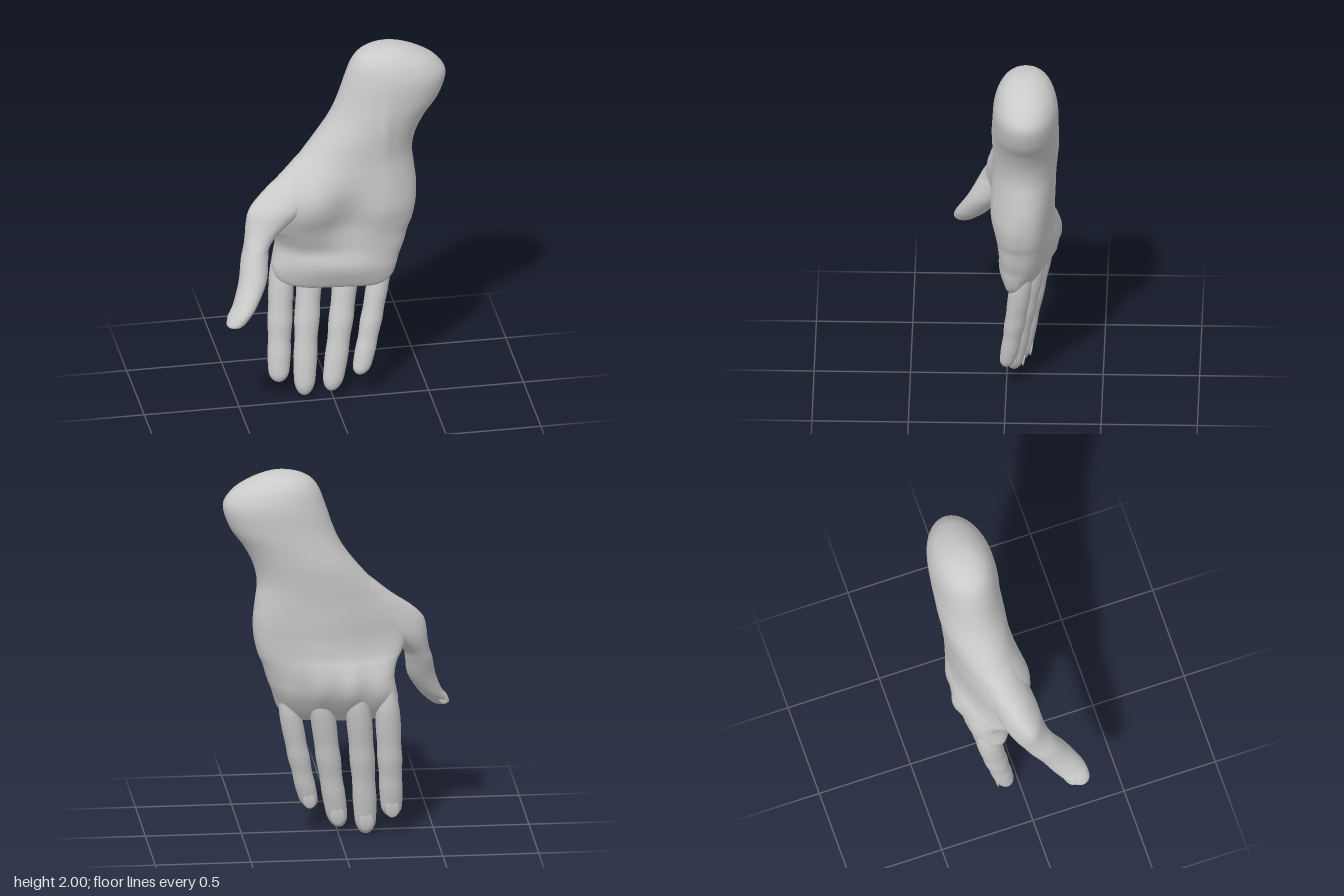
import * as THREE from 'three';

const skin = new THREE.MeshStandardMaterial({ color: 0xcacaca });
skin.name = 'plain grey';

// Smooth interpolation of a list of number rows
function sampleRows(rows, steps) {
  const out = [], last = rows.length - 1;
  for (let s = 0; s <= last * steps; s++) {
    const i = Math.min(Math.floor(s / steps), last - 1), t = s / steps - i;
    const p = [i - 1, i, i + 1, i + 2].map(k => rows[Math.max(0, Math.min(last, k))]);
    out.push(p[1].map((b, k) => {
      const a = p[0][k], c = p[2][k], d = p[3][k];
      return b + 0.5 * t * (c - a + t * (2 * a - 5 * b + 4 * c - d + t * (3 * (b - c) + d - a)));
    }));
  }
  return out;
}

// Closed loft from level rings, listed top to bottom; point(row, angle) gives [x, y, z]
function loft(name, rows, sides, steps, point) {
  const pos = [], index = [];
  const rings = sampleRows(rows, steps);
  rings.forEach((row, i) => {
    for (let j = 0; j < sides; j++) {
      pos.push(...point(row, j / sides * Math.PI * 2));
      if (i === rings.length - 1) continue;
      const a = i * sides + j, b = i * sides + (j + 1) % sides;
      index.push(a, b, a + sides, b, b + sides, a + sides);
    }
  });
  const g = new THREE.BufferGeometry();
  g.setAttribute('position', new THREE.Float32BufferAttribute(pos, 3));
  g.setIndex(index);
  g.computeVertexNormals();
  const mesh = new THREE.Mesh(g, skin);
  mesh.name = name;
  return mesh;
}

// All rows: y, left x, right x, centre z at each edge, half depth at each edge
// u and v are the unit outline of the ring
const ringPoint = ([y, xl, xr, zl, zr, hl, hr], u, v) => {
  const t = (u + 1) / 2;
  return [xl + (xr - xl) * t, y, zl + (zr - zl) * t + (hl + (hr - hl) * t) * v];
};
const ovalPoint = (row, a) => ringPoint(row, Math.cos(a), Math.sin(a));

const palmRows = [
  [2.0, 0.305, 0.305, -0.105, -0.105, 0, 0],
  [1.995, 0.25, 0.36, -0.105, -0.105, 0.045, 0.045],
  [1.98, 0.19, 0.415, -0.105, -0.105, 0.085, 0.08],
  [1.95, 0.14, 0.485, -0.105, -0.105, 0.122, 0.115],
  [1.9, 0.105, 0.56, -0.105, -0.105, 0.152, 0.145],
  [1.82, 0.075, 0.607, -0.105, -0.105, 0.17, 0.165],
  [1.7, 0.035, 0.57, -0.105, -0.105, 0.17, 0.17],
  [1.6, -0.01, 0.50, -0.105, -0.105, 0.17, 0.17],
  [1.5, -0.08, 0.45, -0.10, -0.105, 0.165, 0.172],
  [1.4, -0.165, 0.43, -0.085, -0.105, 0.145, 0.175],
  [1.3, -0.26, 0.44, -0.06, -0.105, 0.125, 0.178],
  [1.2, -0.34, 0.45, -0.045, -0.10, 0.11, 0.175],
  [1.1, -0.36, 0.445, -0.045, -0.09, 0.10, 0.165],
  [1.01, -0.335, 0.425, -0.07, -0.085, 0.10, 0.15],
  [0.95, -0.30, 0.40, -0.10, -0.08, 0.115, 0.14],
  [0.88, -0.285, 0.38, -0.13, -0.07, 0.12, 0.13],
  [0.8, -0.295, 0.355, -0.135, -0.065, 0.115, 0.115],
  [0.72, -0.305, 0.34, -0.125, -0.05, 0.095, 0.09],
  [0.66, -0.295, 0.32, -0.11, -0.04, 0.065, 0.06],
  [0.635, -0.26, 0.28, -0.10, -0.04, 0.04, 0.035],
  [0.625, -0.18, 0.22, -0.095, -0.045, 0, 0],
];

// Soft swellings and hollows: x, y, spread x, spread y, depth
const frontRelief = [
  [-0.15, 1.19, 0.17, 0.18, 0.055],  // thumb pad
  [0.28, 1.15, 0.12, 0.2, 0.025],    // heel pad
  [0.06, 1.05, 0.1, 0.14, -0.03],    // hollow
  [-0.12, 0.85, 0.16, 0.04, -0.008], // crease
  [0.05, 0.77, 0.28, 0.07, 0.018],   // pads below the fingers
  [0.27, 1.6, 0.03, 0.18, 0.008],    // wrist tendon
];
const backRelief = [
  [0.04, 1.02, 0.24, 0.32, 0.05],    // back of the hand
  [-0.22, 0.82, 0.05, 0.12, 0.012], [-0.05, 0.82, 0.05, 0.12, 0.025],
  [0.11, 0.82, 0.05, 0.12, 0.018], [0.26, 0.78, 0.05, 0.1, 0.012],
];
const relief = (list, x, y) => list.reduce((sum, [cx, cy, sx, sy, d]) =>
  sum + d * Math.exp(-(((x - cx) / sx) ** 2) - ((y - cy) / sy) ** 2), 0);

function palmPoint(row, a) {
  // Oval at the wrist, squarer toward the knuckles
  const power = 0.72 + 0.28 * THREE.MathUtils.smoothstep(row[0], 0.9, 1.4);
  const [u, s] = [Math.cos(a), Math.sin(a)].map(c => Math.sign(c) * Math.abs(c) ** power);
  const [x, y, z] = ringPoint(row, u, s);
  const bump = relief(s > 0 ? frontRelief : backRelief, x, y) * s;
  // The lower edge curves up toward both outer fingers
  const edge = Math.max(0, (x - 0.2) / 0.13) ** 2 + Math.max(0, (-0.1 - x) / 0.2) ** 2;
  return [x, y + 0.05 * edge * THREE.MathUtils.smoothstep(0.85 - y, 0, 0.2), z + bump];
}

// The thumb starts as a wide wedge inside the palm, which forms the web
const thumbRows = [
  [1.48, -0.06, -0.03, -0.08, -0.08, 0.01, 0.01],
  [1.4, -0.165, 0.0, -0.08, -0.08, 0.08, 0.10],
  [1.3, -0.28, 0.02, -0.05, -0.07, 0.09, 0.13],
  [1.22, -0.385, -0.02, -0.015, -0.06, 0.085, 0.14],
  [1.15, -0.45, -0.11, 0.01, -0.04, 0.085, 0.135],
  [1.08, -0.468, -0.21, 0.02, -0.02, 0.09, 0.115],
  [1.02, -0.475, -0.295, 0.035, 0.01, 0.09, 0.095],
  [0.96, -0.487, -0.35, 0.06, 0.05, 0.088, 0.085],
  [0.9, -0.505, -0.363, 0.083, 0.083, 0.085, 0.085],
  [0.8, -0.525, -0.38, 0.132, 0.132, 0.083, 0.083],
  [0.7, -0.562, -0.437, 0.185, 0.185, 0.082, 0.082],
  [0.65, -0.593, -0.477, 0.215, 0.215, 0.07, 0.07],
  [0.61, -0.608, -0.52, 0.237, 0.237, 0.047, 0.047],
  [0.592, -0.57, -0.57, 0.243, 0.243, 0, 0],
];

// Thin fingernail lying on the surface, with its facing direction and its long direction
function addNail(group, name, at, normal, along, width, length) {
  const nail = new THREE.Mesh(new THREE.SphereGeometry(1, 20, 12), skin);
  nail.name = name;
  nail.scale.set(width, length, 0.007);
  nail.position.set(...at);
  nail.up.set(...along);
  nail.lookAt(at[0] + normal[0], at[1] + normal[1], at[2] + normal[2]);
  group.add(nail);
}

// Finger thickness from knuckle to tip, with slight swelling at the joints
const fingerProfile = [[0, 0], [0.05, 0.6], [0.16, 1.0], [0.28, 1.08], [0.4, 1.03], [0.5, 1.07],
  [0.62, 0.97], [0.73, 1.0], [0.83, 0.95], [0.91, 0.87], [0.96, 0.65], [0.988, 0.36], [1, 0]];

const fingers = [
  ['indexFinger', [-0.235, 0.88, -0.18], [-0.262, 0.42, -0.122], [-0.277, 0.09, -0.07], 0.061],
  ['middleFinger', [-0.07, 0.91, -0.21], [-0.118, 0.42, -0.128], [-0.142, 0.0, -0.068], 0.062],
  ['ringFinger', [0.115, 0.89, -0.17], [0.055, 0.42, -0.09], [-0.006, 0.03, -0.035], 0.061],
  ['littleFinger', [0.285, 0.84, -0.095], [0.205, 0.42, -0.045], [0.138, 0.13, 0.0], 0.054],
];

export function createModel() {
  const hand = new THREE.Group();
  hand.name = 'hand';
  hand.add(loft('palmAndWrist', palmRows, 96, 6, palmPoint));
  hand.add(loft('thumb', thumbRows, 48, 6, ovalPoint));
  addNail(hand, 'thumbNail', [-0.568, 0.652, 0.176], [-0.65, 0.3, -0.65], [0.51, 0.74, -0.43], 0.034, 0.045);

  for (const [name, base, mid, tip, r] of fingers) {
    const curve = new THREE.QuadraticBezierCurve3(
      new THREE.Vector3(...base),
      new THREE.Vector3(...mid.map((m, k) => 2 * m - (base[k] + tip[k]) / 2)),
      new THREE.Vector3(...tip));
    const rows = fingerProfile.map(([t, f]) => {
      const p = curve.getPoint(t), depth = r * f * (1.05 - 0.2 * t);
      return [p.y, p.x - r * f, p.x + r * f, p.z, p.z, depth, depth];
    });
    hand.add(loft(name, rows, 32, 5, ovalPoint));
    const n = curve.getPoint(0.9);
    addNail(hand, name + 'Nail', [n.x, n.y, n.z - r * 0.74], [0, -0.15, -1],
      curve.getTangent(0.9).negate().toArray(), r * 0.6, r * 0.8);
  }
  return hand;
}
